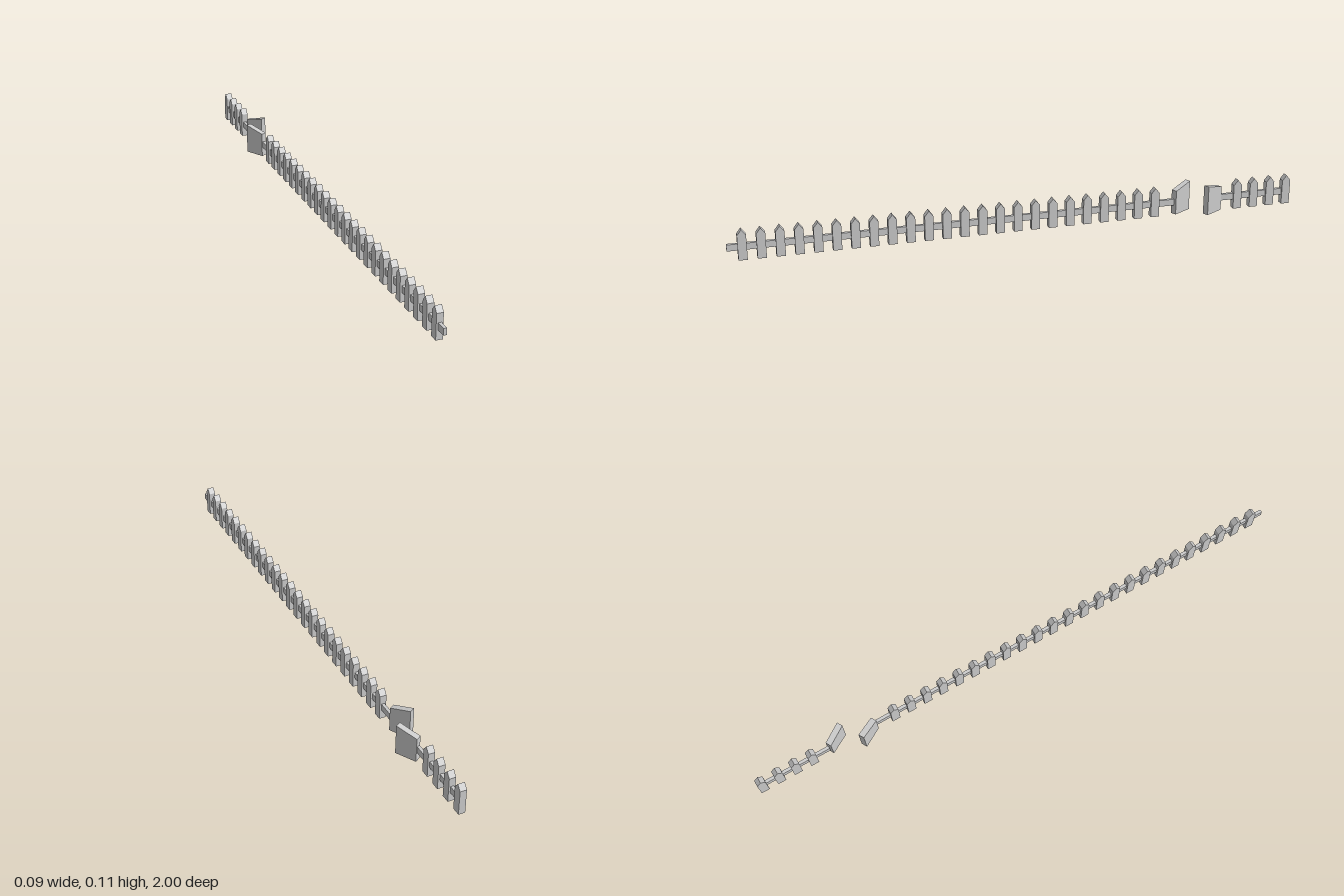
import * as THREE from 'three';

const material = new THREE.MeshStandardMaterial({ color: 0xcccccc, flatShading: true });

// Board outline given as [along, height] pairs, extruded to a thickness centred on x,
// with the along axis turned onto z
function board(points, thickness) {
  const shape = new THREE.Shape(points.map(([a, h]) => new THREE.Vector2(a, h)));
  const geometry = new THREE.ExtrudeGeometry(shape, { depth: thickness, bevelEnabled: false });
  geometry.translate(0, 0, -thickness / 2);
  geometry.rotateY(-Math.PI / 2);
  return geometry;
}

export function createModel() {
  const group = new THREE.Group();
  const add = (name, geometry, x, y, z) => {
    const mesh = new THREE.Mesh(geometry, material);
    mesh.name = name;
    mesh.position.set(x, y, z);
    group.add(mesh);
    return mesh;
  };

  // Pointed pickets, leaving an opening for the gate
  const w = 0.015, top = 0.107, shoulder = 0.088;
  const picket = board([[-w, 0], [w, 0], [w, shoulder], [0, top], [-w, shoulder]], 0.023);
  for (let i = 0; i < 32; i++) {
    if (i > 23 && i < 28) continue;
    add('picket', picket, 0, 0, 0.949 - i * 0.0624);
  }

  // Rails on either side of the gate
  for (const [z0, z1] of [[1, -0.558], [-0.733, -0.998]]) {
    add('rail', new THREE.BoxGeometry(0.011, 0.023, z0 - z1), 0, 0.0455, (z0 + z1) / 2);
  }

  // Two half-open gate leaves, rising from hinge to free end
  const half = 0.0375;
  const leaf = board([[-half, 0], [half, 0], [half, top], [-half, shoulder]], 0.021);
  add('gateLeafBack', leaf, 0.018, 0, -0.699).rotation.y = Math.PI / 6;
  add('gateLeafFront', leaf, -0.018, 0, -0.592).rotation.y = Math.PI / 6 + Math.PI;

  return group;
}
